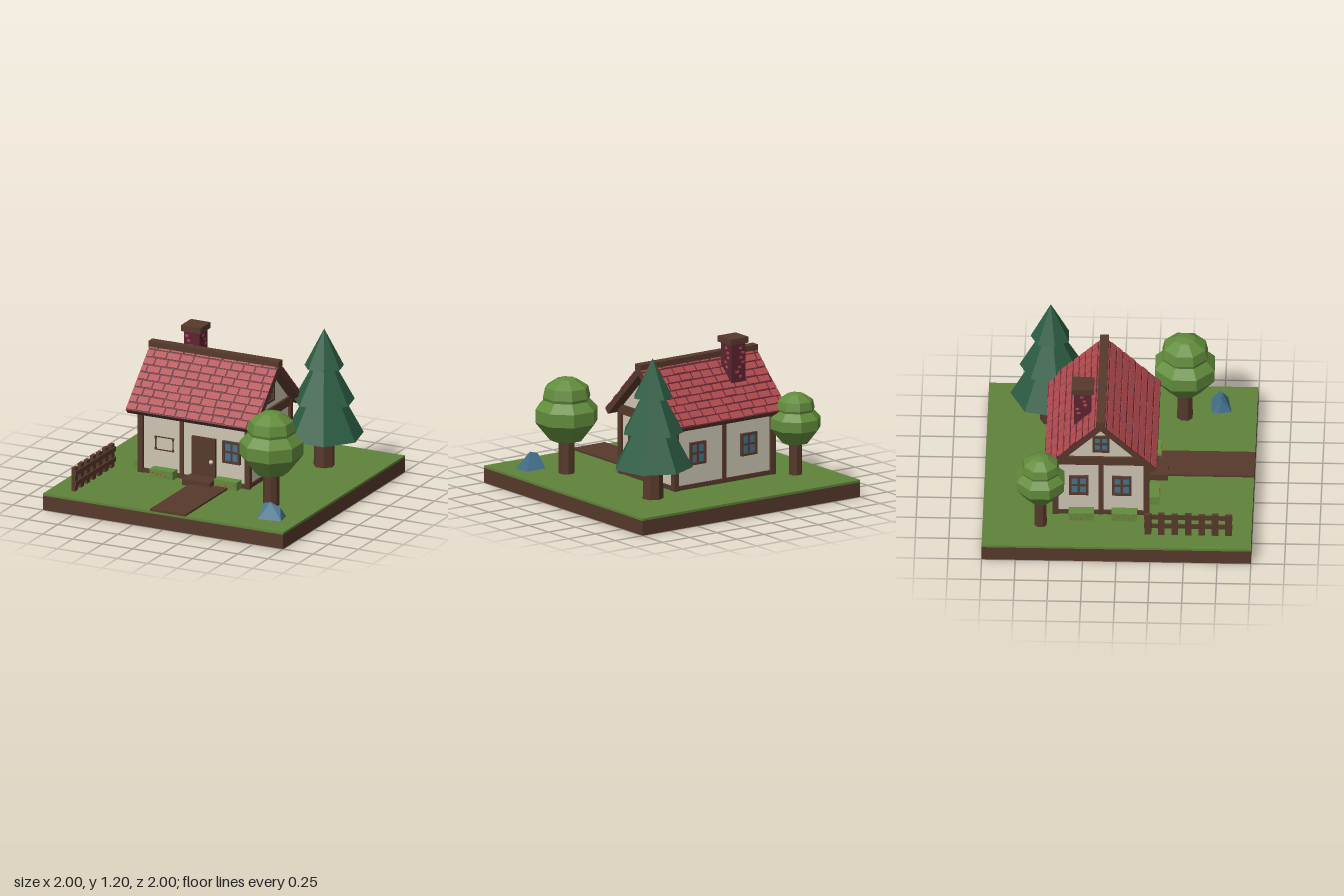
import * as THREE from 'three';
import { ConvexGeometry } from 'three/addons/geometries/ConvexGeometry.js';

const mat = (name, color) => {
  const m = new THREE.MeshStandardMaterial({ color });
  m.name = name;
  return m;
};

export function createModel() {
  const wood = mat('brown wood', 0x57392b), plaster = mat('cream plaster', 0xcdc5b3);
  const tileRed = mat('tile red', 0xb04a4e), darkRed = mat('dark red', 0x5c2432);
  const grass = mat('grass green', 0x5f833a), leaf = mat('leaf green', 0x628c3c);
  const pine = mat('pine green', 0x2c5c43), blue = mat('slate blue', 0x44728c);

  const model = new THREE.Group();
  model.name = 'cottage';
  const group = (name, parent = model) => {
    const g = new THREE.Group();
    g.name = name;
    parent.add(g);
    return g;
  };
  const add = (name, geo, m, parent = model) => {
    const mesh = new THREE.Mesh(geo, m);
    mesh.name = name;
    parent.add(mesh);
    return mesh;
  };
  // Box given by its minimum and maximum corners
  const box = (name, m, x0, x1, y0, y1, z0, z1, parent = model) => {
    const b = add(name, new THREE.BoxGeometry(x1 - x0, y1 - y0, z1 - z0), m, parent);
    b.position.set((x0 + x1) / 2, (y0 + y1) / 2, (z0 + z1) / 2);
    return b;
  };
  const facet = (geo) => {
    const g = geo.index ? geo.toNonIndexed() : geo;
    g.computeVertexNormals();
    return g;
  };
  let seed = 7;
  const rand = () => (seed = (seed * 16807) % 2147483647) / 2147483647;

  // Ground
  const G = 0.13;
  box('earth', wood, -1, 1, 0, 0.112, -1, 1);
  box('lawn', grass, -1, 1, 0.112, G, -1, 1);
  box('path', wood, -0.11, 0.185, G, 0.145, 0.23, 1);
  box('doorStep', wood, -0.165, 0.065, G, 0.18, 0.22, 0.36);

  // Walls with gables, extruded along x
  const C = -0.125, house = group('house');
  const X0 = -0.58, X1 = 0.31, Z0 = C - 0.34, Z1 = C + 0.34;
  const gable = new THREE.Shape([[Z0, G], [Z1, G], [Z1, 0.64], [C, 0.97], [Z0, 0.64]].map((p) => new THREE.Vector2(...p)));
  const walls = new THREE.ExtrudeGeometry(gable, { depth: X1 - X0, bevelEnabled: false });
  walls.rotateY(-Math.PI / 2).translate(X1, 0, 0);
  add('walls', walls, plaster, house);

  // Timber frame
  for (const x of [-0.6, 0.288])
    for (const z of [Z0 - 0.02, Z1 - 0.025]) box('cornerPost', wood, x, x + 0.042, G, 0.63, z, z + 0.045, house);
  box('frontPost', wood, -0.252, -0.222, G, 0.63, Z1 - 0.02, Z1 + 0.015, house);
  box('backPost', wood, -0.15, -0.12, G, 0.63, Z0 - 0.015, Z0 + 0.02, house);
  for (const [y0, y1] of [[G, 0.163], [0.59, 0.63]])
    for (const z of [Z0, Z1]) box('longBeam', wood, X0, X1, y0, y1, z - 0.013, z + 0.013, house);
  for (const x of [X0, X1]) {
    box('sideSill', wood, x - 0.013, x + 0.013, G, 0.163, Z0, Z1, house);
    box('sideBeam', wood, x - 0.018, x + 0.018, 0.59, 0.66, Z0 - 0.02, Z1 + 0.02, house);
    box('sidePost', wood, x - 0.015, x + 0.015, G, 0.6, C - 0.017, C + 0.017, house);
  }

  // Windows: pane, frame and cross bars, facing local +z
  const window = (x, y, z, turn, w = 0.145, h = 0.172) => {
    const g = group('window', house), a = w / 2, b = h / 2, t = 0.018;
    box('pane', blue, -a, a, -b, b, -0.002, 0.006, g);
    for (const s of [-1, 1]) {
      box('frameSide', wood, s * (a - t / 2) - t / 2, s * (a - t / 2) + t / 2, -b, b, 0, 0.02, g);
      box('frameRail', wood, -a, a, s * (b - t / 2) - t / 2, s * (b - t / 2) + t / 2, 0, 0.02, g);
    }
    box('upright', wood, -0.008, 0.008, -b, b, 0, 0.014, g);
    box('crossbar', wood, -a, a, -0.008, 0.008, 0, 0.014, g);
    g.position.set(x, y, z);
    g.rotation.y = turn;
  };
  window(0.177, 0.395, Z1, 0);
  for (const x of [0.11, -0.36]) window(x, 0.395, Z0, Math.PI);
  for (const [x, turn] of [[X1, Math.PI / 2], [X0, -Math.PI / 2]]) {
    for (const z of [0.03, -0.29]) window(x, 0.395, z, turn);
    window(x, 0.78, C, turn, 0.125, 0.145);
  }

  // Door
  const door = group('door', house);
  box('doorPanel', wood, -0.15, 0.045, G, 0.48, Z1, Z1 + 0.02, door);
  const knob = add('doorKnob', new THREE.IcosahedronGeometry(0.017, 1), plaster, door);
  knob.position.set(0.015, 0.3, Z1 + 0.027);

  // Blank wall plaque with a thin border
  const plaque = group('plaque', house);
  for (const y of [0.322, 0.422]) box('plaqueRail', wood, -0.465, -0.305, y, y + 0.007, Z1, Z1 + 0.008, plaque);
  for (const x of [-0.46, -0.317]) {
    box('plaqueSide', wood, x, x + 0.007, 0.322, 0.429, Z1, Z1 + 0.008, plaque);
    for (const y of [0.325, 0.408]) box('plaqueCorner', wood, x - 0.004, x + 0.011, y, y + 0.015, Z1, Z1 + 0.009, plaque);
  }

  // Roof: two tiled slopes about the ridge
  const angle = 0.768, slope = 0.42 / Math.cos(angle), half = 0.535, rows = 9;
  for (const turn of [0, Math.PI]) {
    const side = group('roofSide', house), tilt = group('roofSlope', side);
    side.position.set(-0.135, 1.03, C);
    side.rotation.y = turn;
    tilt.rotation.x = angle;
    box('roofBoard', wood, -half, half, -0.05, -0.01, 0, slope, tilt);
    box('roofUnderlay', darkRed, -half, half, -0.01, -0.003, 0, slope, tilt);
    const step = slope / rows;
    for (let r = 0; r < rows; r++) {
      let x = -half - (r % 2) * 0.05;
      while (x < half) {
        const w = 0.085 + rand() * 0.04;
        const a = Math.max(x, -half), b = Math.min(x + w - 0.012, half);
        if (b - a > 0.01) {
          const drop = rand() * 0.007;
          box('roofTile', tileRed, a, b, -0.004, 0.003, r * step + 0.003, (r + 1) * step - 0.006 - drop, tilt);
        }
        x += w;
      }
    }
  }
  box('ridgeBeam', wood, -0.677, 0.407, 0.995, 1.045, C - 0.033, C + 0.033, house);

  // Chimney with scattered lighter bricks
  const chimney = group('chimney', house);
  box('chimneyStack', darkRed, -0.435, -0.305, 0.8, 1.135, -0.33, -0.2, chimney);
  box('chimneyCap', wood, -0.452, -0.287, 1.13, 1.175, -0.347, -0.182, chimney);
  for (let s = 0; s < 4; s++) {
    const face = group('chimneyFace', chimney);
    face.position.set(-0.37, 0, -0.265);
    face.rotation.y = s * Math.PI / 2;
    for (let i = 0; i < 7; i++) {
      const x = -0.06 + rand() * 0.09, y = 0.87 + i * 0.036;
      box('brick', tileRed, x, x + 0.028, y, y + 0.018, 0.063, 0.068, face);
    }
  }

  // Flower beds against the walls
  const bed = (x, z, turn) => {
    const g = group('flowerBed');
    box('hedge', leaf, -0.095, 0.095, 0, 0.065, -0.04, 0.04, g);
    for (let i = 0; i < 5; i++) {
      const fx = -0.08 + i * 0.036, fy = 0.012 + rand() * 0.035;
      box('flower', tileRed, fx, fx + 0.013, fy, fy + 0.012, 0.036, 0.044, g);
    }
    g.position.set(x, G, z);
    g.rotation.y = turn;
  };
  bed(-0.37, 0.265, 0);
  bed(0.165, 0.265, 0);
  bed(-0.635, -0.27, -Math.PI / 2);
  bed(-0.635, 0.05, -Math.PI / 2);

  // Faceted solid of revolution from [radius, height] pairs
  const turned = (name, profile, sides, m, parent) =>
    add(name, facet(new THREE.LatheGeometry(profile.map((p) => new THREE.Vector2(...p)), sides)), m, parent);

  // Round trees: a wide lower crown with a smaller one on top
  const roundTree = (x, z, s, base) => {
    const g = group('roundTree');
    turned('trunk', [[0.062 * s, G], [0.06 * s, base + 0.06]], 8, wood, g);
    const crown = group('crown', g);
    turned('lowerCrown', [[0, 0], [0.125, 0], [0.238, 0.14], [0.238, 0.24], [0.15, 0.335], [0, 0.335]], 8, leaf, crown);
    turned('upperCrown', [[0, 0.27], [0.17, 0.29], [0.182, 0.33], [0.165, 0.405], [0.075, 0.465], [0, 0.48]], 8, leaf, crown);
    crown.scale.setScalar(s);
    crown.position.y = base;
    g.position.set(x, 0, z);
    g.rotation.y = Math.PI / 8;
  };
  roundTree(0.63, 0.465, 1, 0.385);
  roundTree(-0.72, -0.57, 0.8, 0.373);

  // Pine: three stacked seven-sided tiers
  const fir = group('pineTree');
  turned('pineTrunk', [[0.08, G], [0.077, 0.42]], 7, wood, fir);
  for (const [r0, y0, r1, y1] of [[0.3, 0.37, 0.15, 0.65], [0.232, 0.637, 0.08, 0.92], [0.15, 0.905, 0, 1.2]])
    turned('pineTier', [[0, y0], [r0, y0], [r1, y1]], 7, pine, fir);
  fir.position.set(0.565, 0, -0.53);
  fir.rotation.y = Math.PI;

  // Rock
  const rock = [[0.68, G, 0.66], [0.85, G, 0.655], [0.87, G, 0.78], [0.69, G, 0.81], [0.67, G, 0.72],
    [0.70, 0.235, 0.73], [0.765, 0.255, 0.74], [0.835, 0.215, 0.72]].map((p) => new THREE.Vector3(...p));
  add('rock', new ConvexGeometry(rock), blue);

  // Picket fence
  const fence = group('fence');
  for (const y of [0.172, 0.252]) box('fenceRail', wood, -0.81, -0.797, y, y + 0.036, 0.2, 0.86, fence);
  for (let i = 0; i < 7; i++) {
    const z = 0.23 + i * 0.1;
    box('picket', wood, -0.835, -0.808, G, 0.312 + (i % 2) * 0.006, z - 0.025, z + 0.025, fence);
  }
  return model;
}
